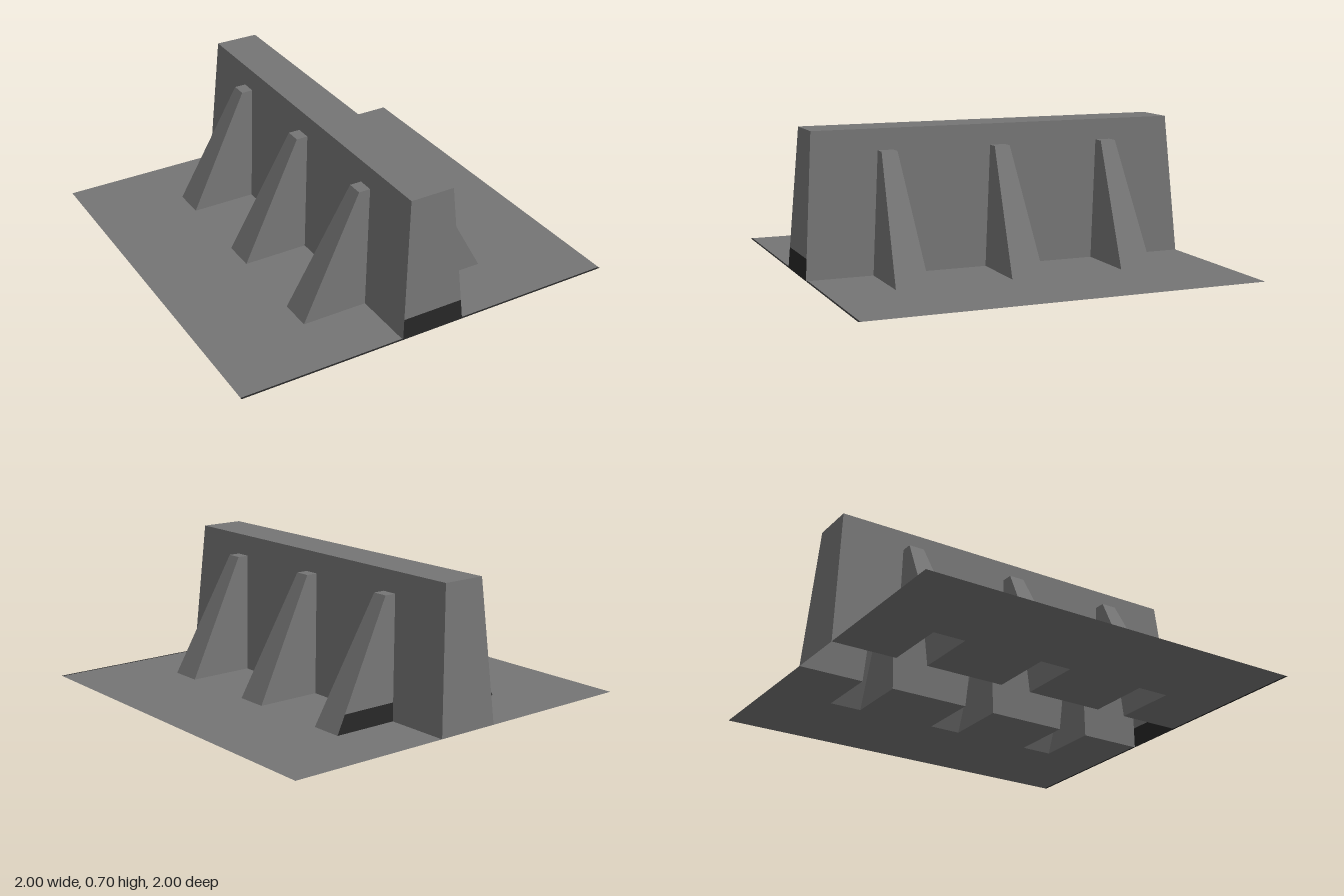
import * as THREE from 'three';

const concrete = new THREE.MeshStandardMaterial({ color: 0x757575, side: THREE.DoubleSide });
concrete.name = 'concrete grey';
const dark = new THREE.MeshStandardMaterial({ color: 0x272727, side: THREE.DoubleSide });
dark.name = 'dark grey';

// Main dimensions: wall base / top half sizes and heights
const H = 0.705, BX = 0.165, TX = 0.113, TZ = 0.95;
const RH = 0.6, RB = 0.083, RT = 0.04, REACH = 0.5, RTOP = 0.18;
const ribZ = [-0.583, 0, 0.583];
const wallX = y => BX + (TX - BX) * y / H;
const wallZ = y => 1 + (TZ - 1) * y / H;

// Flat outline with holes, placed in space by a mapping (u, v) -> [x, y, z]
function panel(name, outline, map, mat = concrete, holes = [], flip = false) {
  const shape = new THREE.Shape(outline.map(p => new THREE.Vector2(...p)));
  holes.forEach(h => shape.holes.push(new THREE.Path(h.map(p => new THREE.Vector2(...p)))));
  let geo = new THREE.ShapeGeometry(shape);
  const pos = geo.attributes.position;
  for (let i = 0; i < pos.count; i++) pos.setXYZ(i, ...map(pos.getX(i), pos.getY(i)));
  if (flip) geo.setIndex(Array.from(geo.index.array).reverse());
  geo = geo.toNonIndexed();
  geo.computeVertexNormals();
  const mesh = new THREE.Mesh(geo, mat);
  mesh.name = name;
  return mesh;
}

export function createModel() {
  const model = new THREE.Group();
  model.name = 'buttressedWall';

  // Wall top
  model.add(panel('wallTop', [[-TX, -TZ], [TX, -TZ], [TX, TZ], [-TX, TZ]],
    (u, v) => [u, H, v], concrete, [], true));

  // Wall ends, the front one with a dark foot
  const endSlice = (y0, y1) => [[-wallX(y0), y0], [wallX(y0), y0], [wallX(y1), y1], [-wallX(y1), y1]];
  const frontMap = (u, v) => [u, v, wallZ(v)];
  model.add(panel('wallFrontEnd', endSlice(0.105, H), frontMap));
  model.add(panel('wallFrontFoot', endSlice(0, 0.105), frontMap, dark));
  model.add(panel('wallBackEnd', endSlice(0, H), (u, v) => [u, v, -wallZ(v)], concrete, [], true));

  for (const s of [1, -1]) {
    const side = new THREE.Group();
    side.name = s > 0 ? 'leftSide' : 'rightSide';
    model.add(side);

    // Floor, notched round the wall and the hollow ribs
    const notches = ribZ.flatMap(z => [[BX, z - RB], [REACH, z - RB], [REACH, z + RB], [BX, z + RB]]);
    const F = 0.99;
    side.add(panel('floor', [[1, -1], [BX, -1], ...notches, [BX, F], [1, F]],
      (u, v) => [s * u, 0, v], concrete, [], s > 0));
    side.add(panel('floorFrontEdge', [[BX, F], [1, F], [1, 1], [BX, 1]],
      (u, v) => [s * u, 0, v], dark, [], s > 0));

    // Long wall face, opening into each rib
    const openings = ribZ.flatMap(z => [[z - RB, 0], [z - RT, RH], [z + RT, RH], [z + RB, 0]]);
    side.add(panel('wallSide', [[-1, 0], ...openings, [1, 0], [TZ, H], [-TZ, H]],
      (u, v) => [s * wallX(v), v, u], concrete, [], s > 0));

    // Tapered ribs
    const ribHalf = y => RB + (RT - RB) * y / RH;
    const ribX = y => REACH + (RTOP - REACH) * y / RH;
    const ribSlice = (y0, y1) => [[wallX(y0), y0], [ribX(y0), y0], [ribX(y1), y1], [wallX(y1), y1]];
    ribZ.forEach((z, i) => {
      const rib = new THREE.Group();
      rib.name = 'rib' + (i + 1);
      side.add(rib);
      rib.add(panel('ribSlope', [[-RB, 0], [RB, 0], [RT, RH], [-RT, RH]],
        (u, v) => [s * ribX(v), v, z + u], concrete, [], s > 0));
      rib.add(panel('ribTop', [[wallX(RH), -RT], [RTOP, -RT], [RTOP, RT], [wallX(RH), RT]],
        (u, v) => [s * u, RH, z + v], concrete, [], s > 0));
      rib.add(panel('ribFrontFace', ribSlice(0, RH),
        (u, v) => [s * u, v, z + ribHalf(v)], concrete, [], s < 0));
      // The rearmost ribs have a dark foot at the back
      const foot = i === 0 ? 0.09 : 0;
      const backMap = (u, v) => [s * u, v, z - ribHalf(v)];
      rib.add(panel('ribBackFace', ribSlice(foot, RH), backMap, concrete, [], s > 0));
      if (foot) rib.add(panel('ribBackFoot', ribSlice(0, foot), backMap, dark, [], s > 0));
    });
  }
  return model;
}
